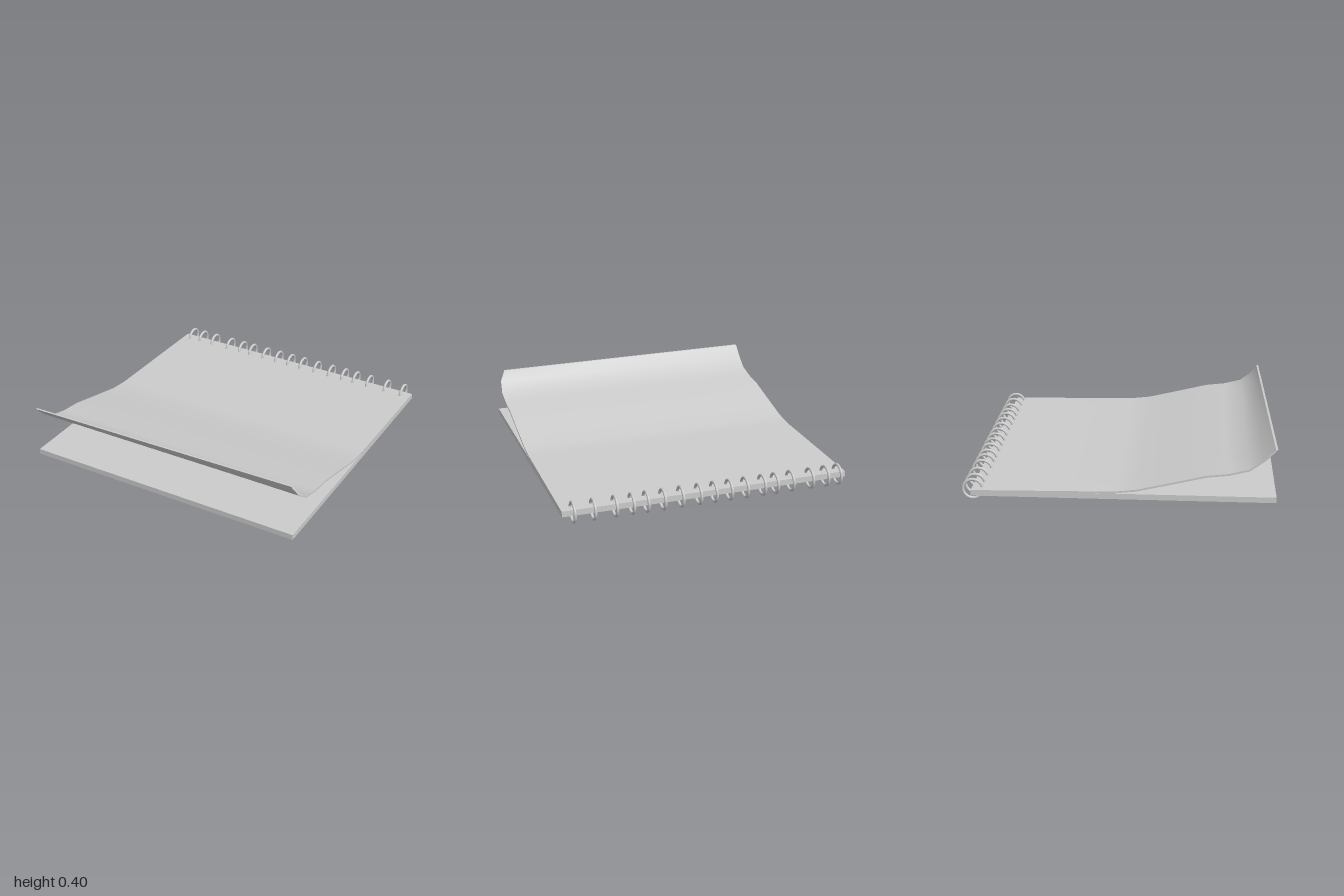
import * as THREE from 'three';

const material = new THREE.MeshStandardMaterial({ color: 0xcccccc });

function addMesh(parent, name, geometry, x, y, z) {
  const mesh = new THREE.Mesh(geometry, material);
  mesh.name = name;
  mesh.position.set(x, y, z);
  parent.add(mesh);
  return mesh;
}

// Lifted sheet: a thin box whose slices follow a curled profile, skewed from left to right
function createSheet() {
  // each slice: z and y at the -x edge, z at the +x edge, x of the +x edge, thickness offset dz, dy
  const slices = [
    [-0.93, 0.086, -0.93, 0.965, 0, -0.012],
    [-0.02, 0.099, -0.02, 0.965, 0, -0.012],
    [0.12, 0.115, 0.12, 0.965, 0.001, -0.012],
    [0.34, 0.167, 0.34, 0.965, 0.002, -0.012],
    [0.56, 0.22, 0.56, 0.965, 0.002, -0.012],
    [0.70, 0.236, 0.70, 0.965, 0.002, -0.012],
    [0.825, 0.268, 0.825, 0.965, 0.005, -0.011],
    [0.915, 0.335, 0.905, 0.955, 0.01, -0.008],
    [0.983, 0.403, 0.94, 0.92, 0.014, 0],
  ];
  const n = slices.length - 1;
  const geometry = new THREE.BoxGeometry(1, 1, 1, 8, 1, n);
  const p = geometry.attributes.position;
  for (let i = 0; i < p.count; i++) {
    const [zLow, y, zHigh, xHigh, dz, dy] = slices[Math.round((p.getZ(i) + 0.5) * n)];
    const u = p.getX(i) + 0.5;
    const under = p.getY(i) < 0 ? 1 : 0;
    p.setXYZ(
      i,
      THREE.MathUtils.lerp(-0.967, xHigh, u),
      y + dy * under,
      THREE.MathUtils.lerp(zLow, zHigh, u) + dz * under
    );
  }
  geometry.computeVertexNormals();
  return geometry;
}

export function createModel() {
  const model = new THREE.Group();
  model.name = 'spiralNotepad';

  // Stack of pages
  addMesh(model, 'pagePad', new THREE.BoxGeometry(1.932, 0.037, 1.93), -0.001, 0.0665, 0.035);

  // Curled top sheet
  addMesh(model, 'liftedSheet', createSheet(), 0, 0, 0);

  // Binding rings, unevenly spaced along the back edge
  const binding = new THREE.Group();
  binding.name = 'binding';
  model.add(binding);
  const ringGeometry = new THREE.TorusGeometry(0.063, 0.0095, 10, 32).rotateY(Math.PI / 2);
  const ringPositions = [
    -0.91, -0.82, -0.71, -0.57, -0.46, -0.37, -0.25, -0.14, -0.035,
    0.07, 0.19, 0.31, 0.42, 0.515, 0.625, 0.765, 0.895,
  ];
  ringPositions.forEach((x) => addMesh(binding, 'bindingRing', ringGeometry, x, 0.0735, -0.927));

  return model;
}
